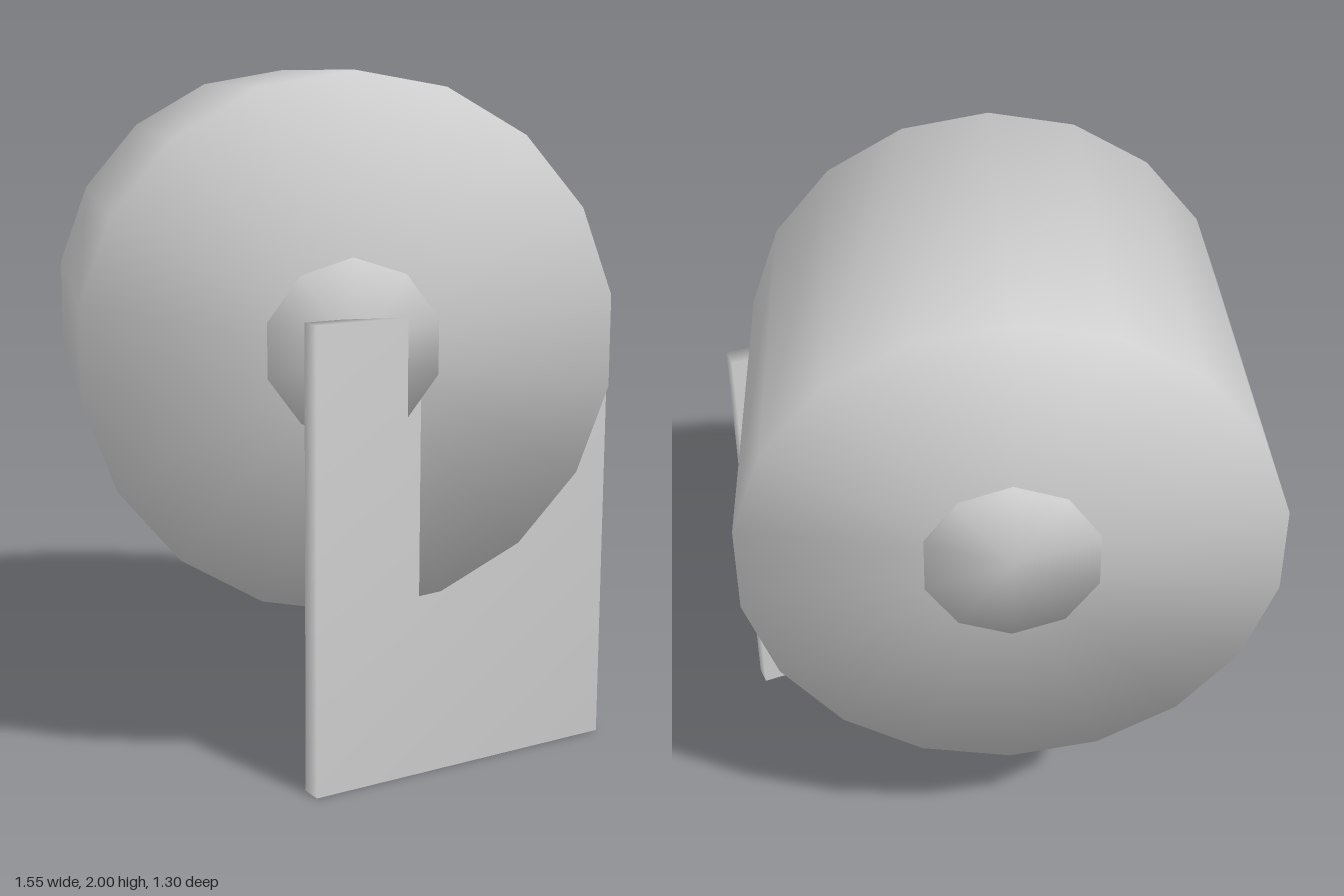
import * as THREE from 'three';
import { mergeVertices } from 'three/addons/utils/BufferGeometryUtils.js';

// Weld corners so the shading runs softly over every edge
function soften(geometry) {
  geometry.deleteAttribute('normal');
  geometry.deleteAttribute('uv');
  const welded = mergeVertices(geometry, 1e-4);
  welded.computeVertexNormals();
  return welded;
}

export function createModel() {
  const model = new THREE.Group();
  model.name = 'drumOnStand';
  const grey = new THREE.MeshStandardMaterial({ color: 0xcccccc });
  grey.name = 'light grey';

  const add = (name, geometry, x, y, z) => {
    const mesh = new THREE.Mesh(soften(geometry), grey);
    mesh.name = name;
    mesh.position.set(x, y, z);
    model.add(mesh);
    return mesh;
  };

  // Cylinder lying along z between two depths
  const barrel = (name, radius, sides, back, front) => add(
    name,
    new THREE.CylinderGeometry(radius, radius, front - back, sides).rotateX(Math.PI / 2),
    -0.04, 1.25, (front + back) / 2
  );

  // Large drum and the axle poking out of both ends
  barrel('drum', 0.75, 18, -0.633, 0.533);
  barrel('axle', 0.25, 10, -0.65, 0.548);

  // Upright slab cutting into the front of the drum at an angle
  const slab = add('standPlate', new THREE.BoxGeometry(1, 1.333, 0.0625), 0.295, 0.6665, 0.448);
  slab.rotation.y = THREE.MathUtils.degToRad(20);

  return model;
}
